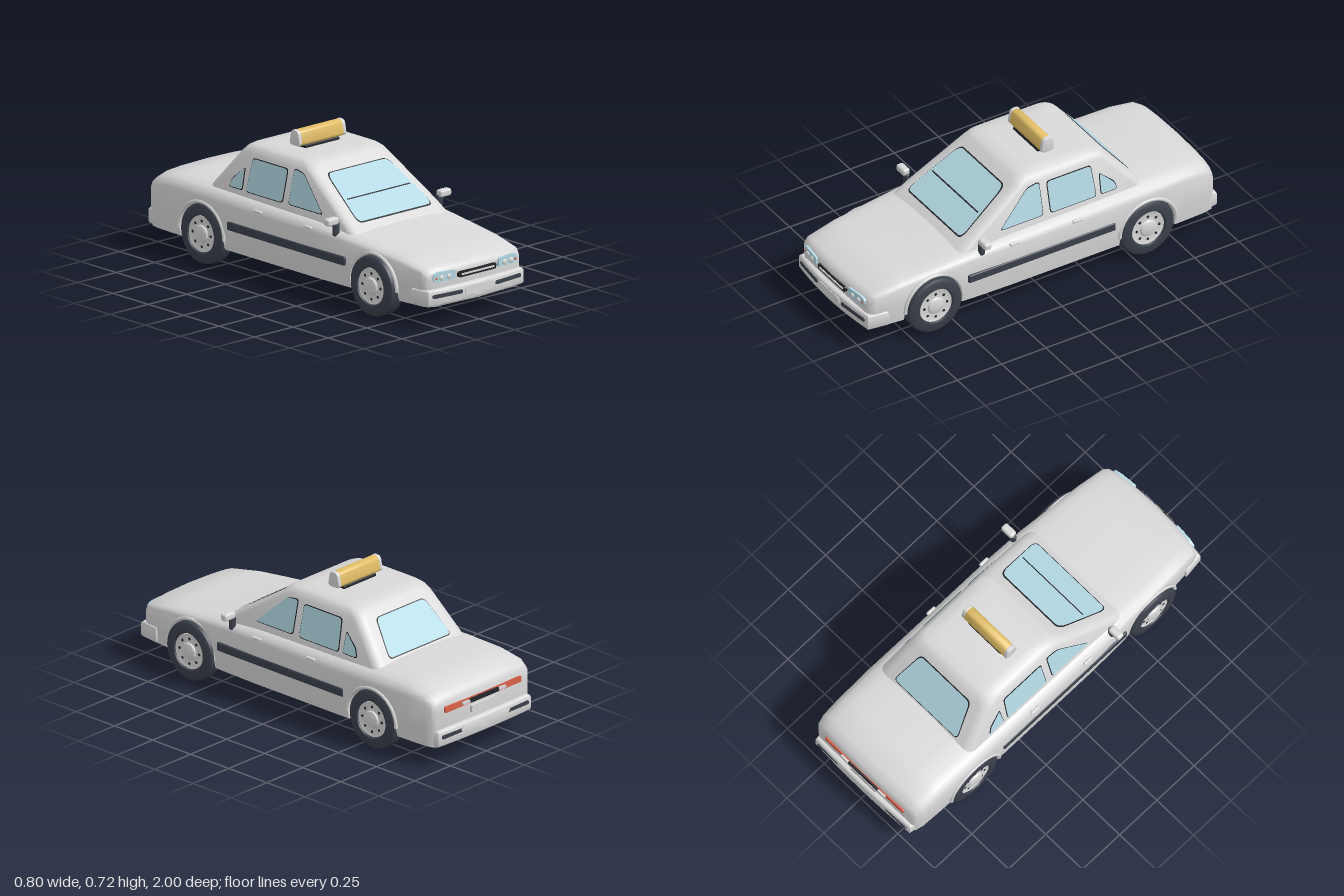
import * as THREE from 'three';
import { toCreasedNormals } from 'three/addons/utils/BufferGeometryUtils.js';
import { RoundedBoxGeometry } from 'three/addons/geometries/RoundedBoxGeometry.js';

const mat = (name, color, side = THREE.FrontSide) => {
  const m = new THREE.MeshStandardMaterial({ color, side });
  m.name = name;
  return m;
};
const paint = mat('light grey paint', 0xd8d8d8);
const glass = mat('pale blue glass', 0xb2d8e3, THREE.DoubleSide);
const rubber = mat('dark slate rubber', 0x3b404b);
const trim = mat('black trim', 0x24262b, THREE.DoubleSide);
const yellow = mat('amber sign', 0xe2be66);
const red = mat('red lamp', 0xd9604a);

const WHEELS = [0.62, -0.58], AXLE = 0.15, ARCH = 0.157, BASE = 0.105;

function add(parent, name, geometry, material, x = 0, y = 0, z = 0) {
  const m = new THREE.Mesh(geometry, material);
  m.name = name;
  m.position.set(x, y, z);
  parent.add(m);
  return m;
}
const rbox = (w, h, d, r) => new RoundedBoxGeometry(w, h, d, 3, r);

// Skin through equal-length rings, capped at both ends
function loft(rings, crease) {
  const n = rings[0].length, pos = rings.flat(2), index = [];
  for (let i = 0; i < rings.length - 1; i++)
    for (let j = 0; j < n; j++) {
      const k = (j + 1) % n, a = i * n + j, b = i * n + k, c = b + n, d = a + n;
      index.push(a, c, b, a, d, c);
    }
  [0, rings.length - 1].forEach((i, end) => {
    const centre = pos.length / 3;
    for (let k = 0; k < 3; k++) pos.push(rings[i].reduce((s, p) => s + p[k], 0) / n);
    for (let j = 0; j < n; j++) {
      const a = i * n + j, b = i * n + (j + 1) % n;
      index.push(centre, ...(end ? [b, a] : [a, b]));
    }
  });
  const g = new THREE.BufferGeometry();
  g.setAttribute('position', new THREE.Float32BufferAttribute(pos, 3));
  g.setIndex(index);
  return toCreasedNormals(g, crease);
}

// Polygon with rounded corners
function roundShape(pts, r) {
  const s = new THREE.Shape(), v = pts.map(p => new THREE.Vector2(...p));
  v.forEach((p, i) => {
    const toward = q => p.clone().add(q.clone().sub(p).setLength(Math.min(r, q.distanceTo(p) * 0.49)));
    const a = toward(v[(i + v.length - 1) % v.length]), b = toward(v[(i + 1) % v.length]);
    i ? s.lineTo(a.x, a.y) : s.moveTo(a.x, a.y);
    s.quadraticCurveTo(p.x, p.y, b.x, b.y);
  });
  s.closePath();
  return s;
}
const rect = (x0, x1, y0, y1) => [[x0, y0], [x1, y0], [x1, y1], [x0, y1]];

function warp(g, f) {
  const p = g.attributes.position;
  for (let i = 0; i < p.count; i++) p.setXYZ(i, ...f(p.getX(i), p.getY(i), p.getZ(i)));
  g.computeVertexNormals();
  return g;
}

// Body station: [z, half width, centre height, shoulder drop]
const STATIONS = [
  [-0.98, 0.315, 0.33, 0.05], [-0.965, 0.335, 0.355, 0.05], [-0.92, 0.345, 0.385, 0.06],
  [-0.8, 0.35, 0.402, 0.065], [-0.58, 0.355, 0.405, 0.07], [-0.3, 0.355, 0.4, 0.07],
  [0.2, 0.355, 0.39, 0.06], [0.4, 0.35, 0.372, 0.045], [0.62, 0.335, 0.346, 0.033],
  [0.78, 0.325, 0.33, 0.033], [0.95, 0.31, 0.302, 0.03], [0.975, 0.3, 0.285, 0.033], [0.985, 0.275, 0.265, 0.03]];

function stationAt(z) {
  let i = 0;
  while (i < STATIONS.length - 2 && z > STATIONS[i + 1][0]) i++;
  const a = STATIONS[i], b = STATIONS[i + 1], t = (z - a[0]) / (b[0] - a[0]);
  return a.map((v, k) => v + (b[k] - v) * t);
}

function bodyGeometry() {
  const zs = STATIONS.map(s => s[0]);
  for (const c of WHEELS) {
    for (let i = 0; i <= 16; i++) zs.push(c + (ARCH - 1e-5) * Math.cos(i * Math.PI / 16));
    zs.push(c + ARCH + 0.0005, c - ARCH - 0.0005);
  }
  const sorted = [...new Set(zs)].sort((a, b) => a - b);
  return loft(sorted.map(z => {
    const [, w, top, drop] = stationAt(z);
    const c = WHEELS.find(q => Math.abs(z - q) < ARCH);
    const low = c === undefined ? BASE : AXLE + Math.sqrt(ARCH ** 2 - (z - c) ** 2);
    const half = [[0.5 * w, top - 0.04 * drop], [0.78 * w, top - 0.14 * drop], [0.9 * w, top - 0.32 * drop],
      [0.97 * w, top - 0.6 * drop], [w, top - drop], [w, Math.max(0.2, low)],
      [low > 0.14 ? w : 0.97 * w, low], [0.25, low], [0.25, BASE]];
    const ring = [[0, top], ...half, [0, BASE], ...half.map(([x, y]) => [-x, y]).reverse()];
    // ends bow outward in plan
    const f = THREE.MathUtils.clamp((z - 0.8) / 0.18, 0, 1), r = THREE.MathUtils.clamp((-z - 0.8) / 0.18, 0, 1);
    return ring.map(([x, y]) => [x, y, z + x * x * (0.1 * r - 0.25 * f)]);
  }), 0.7);
}

// Cabin level: [y, half width, front z, rear z, corner radius]
function cabinGeometry() {
  const levels = [[0.34, 0.315, 0.48, -0.62, 0.05], [0.4, 0.305, 0.4, -0.575, 0.05], [0.585, 0.262, 0.115, -0.42, 0.05],
    [0.612, 0.25, 0.088, -0.398, 0.06], [0.627, 0.233, 0.062, -0.372, 0.06], [0.632, 0.18, 0, -0.31, 0.05]];
  return loft(levels.map(([y, w, zf, zr, r]) => {
    const ring = [];
    [[1, zf - r], [-1, zf - r], [-1, zr + r], [1, zr + r]].forEach(([s, cz], q) => {
      for (let i = 0; i <= 5; i++) {
        const a = (q + i / 5) * Math.PI / 2;
        ring.push([s * (w - r) + r * Math.cos(a), y, cz + r * Math.sin(a)]);
      }
    });
    return ring;
  }), 0.75);
}

function addWindows(g) {
  const t = y => (y - 0.4) / 0.185;
  const front = o => (x, y) => [x, y + o * 0.84, 0.4 - 0.285 * t(y) + o * 0.54];
  const rear = o => (x, y) => [x, y + o * 0.64, -0.575 + 0.155 * t(y) - o * 0.77];
  const side = s => o => (z, y) => [s * (0.305 - 0.043 * t(y) + o), y + o * 0.23, z];
  const pane = (name, pts, r, place) => {
    const c = pts.reduce((a, p) => [a[0] + p[0] / pts.length, a[1] + p[1] / pts.length], [0, 0]);
    const grown = pts.map(p => p.map((v, k) => v + Math.sign(v - c[k]) * 0.004));
    add(g, name + 'Seal', warp(new THREE.ShapeGeometry(roundShape(grown, r)), place(0.002)), trim);
    add(g, name, warp(new THREE.ShapeGeometry(roundShape(pts, r)), place(0.005)), glass);
  };
  pane('windscreen', [[-0.24, 0.397], [0.24, 0.397], [0.195, 0.572], [-0.195, 0.572]], 0.03, front);
  pane('rearWindow', [[-0.212, 0.415], [0.212, 0.415], [0.165, 0.572], [-0.165, 0.572]], 0.025, rear);
  add(g, 'wiperLine', warp(new THREE.ShapeGeometry(roundShape(rect(-0.205, 0.205, 0.473, 0.477), 0.001)), front(0.008)), trim);
  for (const s of [1, -1]) {
    pane('frontDoorWindow', [[0.225, 0.412], [-0.015, 0.412], [-0.015, 0.58], [0.055, 0.57]], 0.02, side(s));
    pane('rearDoorWindow', [[-0.06, 0.41], [-0.315, 0.41], [-0.305, 0.568], [-0.06, 0.568]], 0.02, side(s));
    pane('quarterWindow', [[-0.345, 0.412], [-0.435, 0.412], [-0.42, 0.45], [-0.35, 0.515]], 0.015, side(s));
  }
}

// Slab on a bowed end face, its outer side at z = face - bow * x * x
function slab(g, name, material, pts, r, face, bow, depth = 0.03) {
  const geo = new THREE.ExtrudeGeometry(roundShape(pts, r), { depth, bevelEnabled: false, curveSegments: 5 });
  return add(g, name, warp(geo, (x, y, z) => [x, y, z - depth + face - bow * x * x]), material);
}

function addBumper(g, w, bow, back) {
  const pts = [[-w, back], [w, back]];
  for (let i = 0; i <= 12; i++) {
    const x = (w - 0.012) * (1 - i / 6);
    pts.push([x, 0.985 - bow * x * x]);
  }
  const geo = new THREE.ExtrudeGeometry(new THREE.Shape(pts.map(p => new THREE.Vector2(p[0], -p[1])).reverse()),
    { depth: 0.05, bevelSize: 0.015, bevelThickness: 0.017, bevelSegments: 4 });
  add(g, 'bumper', toCreasedNormals(geo.rotateX(-Math.PI / 2), 0.7), paint, 0, 0.125, 0);
}

function addNose(g) {
  addBumper(g, 0.308, 0.25, 0.88);
  slab(g, 'grille', trim, rect(-0.122, 0.122, 0.226, 0.256), 0.014, 0.992, 0.25);
  slab(g, 'grilleBar', paint, rect(-0.105, 0.105, 0.237, 0.245), 0.003, 0.996, 0.25);
  slab(g, 'numberPlate', paint, rect(-0.087, 0.087, 0.14, 0.177), 0.01, 1.004, 0.25);
  for (const s of [1, -1]) {
    const mx = pts => pts.map(([x, y]) => [s * x, y]);
    slab(g, 'headlight', glass, mx([[0.14, 0.228], [0.26, 0.224], [0.273, 0.24], [0.27, 0.265], [0.24, 0.274], [0.14, 0.272]]), 0.012, 0.991, 0.25, 0.04);
    slab(g, 'bumperStrip', rubber, mx(rect(0.107, 0.285, 0.15, 0.169)), 0.009, 1.005, 0.25);
    for (const [x, r, m] of [[0.18, 0.014, paint], [0.225, 0.014, paint], [0.255, 0.007, red]])
      add(g, 'lamp', new THREE.SphereGeometry(r, 16, 10).scale(1, 1, 0.5), m, s * x, 0.245, 0.992 - 0.25 * x * x);
  }
}

function addTail(g) {
  addBumper(g, 0.32, 0.1, 0.89);
  slab(g, 'tailLights', red, rect(-0.265, 0.265, 0.272, 0.303), 0.008, 0.988, 0.1);
  slab(g, 'tailPanel', trim, rect(-0.1, 0.1, 0.277, 0.298), 0.006, 0.991, 0.1);
  slab(g, 'numberPlate', paint, rect(-0.085, 0.085, 0.22, 0.258), 0.01, 0.988, 0.1);
  slab(g, 'bumperStrip', rubber, rect(-0.3, 0.3, 0.15, 0.169), 0.009, 1.006, 0.1);
  for (const s of [1, -1])
    slab(g, 'reverseLight', paint, rect(0.1, 0.15, 0.28, 0.295).map(([x, y]) => [s * x, y]), 0.005, 0.992, 0.1);
}

const spin = pts => toCreasedNormals(new THREE.LatheGeometry(pts.map(p => new THREE.Vector2(...p)), 36), 0.6).rotateZ(-Math.PI / 2);

function makeWheel() {
  const g = new THREE.Group();
  g.name = 'wheel';
  add(g, 'tyre', spin([[0, -0.035], [0.08, -0.045], [0.132, -0.045], [0.146, -0.036], [0.15, -0.02], [0.15, 0.02],
    [0.146, 0.036], [0.132, 0.045], [0.096, 0.045], [0.088, 0.028]]), rubber);
  add(g, 'rim', spin([[0.091, 0.028], [0.089, 0.038], [0.08, 0.034], [0.045, 0.036], [0.04, 0.044], [0.03, 0.048], [0, 0.049]]), paint);
  for (let i = 0; i < 8; i++) {
    const a = i * Math.PI / 4;
    add(g, 'rimHole', new THREE.CylinderGeometry(0.007, 0.007, 0.004, 10).rotateZ(Math.PI / 2), trim, 0.035, 0.064 * Math.cos(a), 0.064 * Math.sin(a));
  }
  return g;
}

function addRoofSign(g) {
  const bar = (name, m, x, len, grow) => {
    const s = roundShape([[-0.034 - grow, 0], [0.034 + grow, 0], [0.02 + grow, 0.07 + grow], [-0.02 - grow, 0.07 + grow]], 0.018);
    const geo = new THREE.ExtrudeGeometry(s, { depth: len - 0.012, bevelSize: 0.004, bevelThickness: 0.006, bevelSegments: 3 });
    geo.translate(0, 0, -(len - 0.012) / 2).rotateY(Math.PI / 2);
    add(g, name, toCreasedNormals(geo, 0.7), m, x, 0.649, -0.14);
  };
  bar('signLens', yellow, 0, 0.275, 0);
  for (const s of [1, -1]) bar('signEnd', paint, s * 0.143, 0.02, 0.001);
  add(g, 'signBase', rbox(0.225, 0.022, 0.065, 0.008), trim, 0, 0.637, -0.14);
}

export function createModel() {
  const car = new THREE.Group();
  car.name = 'taxi';
  add(car, 'body', bodyGeometry(), paint);
  add(car, 'cabin', cabinGeometry(), paint);
  add(car, 'floorPan', new THREE.BoxGeometry(0.49, 0.03, 1.5), trim, 0, 0.101, 0.02);
  addWindows(car);
  const nose = new THREE.Group(), tail = new THREE.Group();
  nose.name = 'nose';
  tail.name = 'tail';
  addNose(nose);
  addTail(tail);
  tail.rotation.y = Math.PI;
  car.add(nose, tail);
  addRoofSign(car);

  for (const s of [1, -1]) {
    add(car, 'rubStrip', rbox(0.022, 0.045, 0.83, 0.009), rubber, s * 0.35, 0.233, 0.02);
    for (const z of [0.175, -0.18]) add(car, 'doorHandle', rbox(0.016, 0.015, 0.055, 0.006), paint, s * 0.354, 0.347, z);
    // door mirror on its stalk
    add(car, 'mirror', rbox(0.072, 0.037, 0.04, 0.012), paint, s * 0.365, 0.417, 0.352);
    add(car, 'mirrorArm', rbox(0.034, 0.072, 0.025, 0.01), rubber, s * 0.336, 0.375, 0.352);
    for (const z of WHEELS) {
      const wheel = makeWheel();
      wheel.position.set(s * 0.315, AXLE, z);
      if (s < 0) wheel.rotation.y = Math.PI;
      car.add(wheel);
      // raised arch lip
      const lip = new THREE.TorusGeometry(ARCH + 0.003, 0.009, 8, 28, Math.PI).rotateY(Math.PI / 2);
      add(car, 'archLip', lip, paint, s * (stationAt(z)[1] - 0.002), AXLE, z);
    }
  }
  return car;
}
